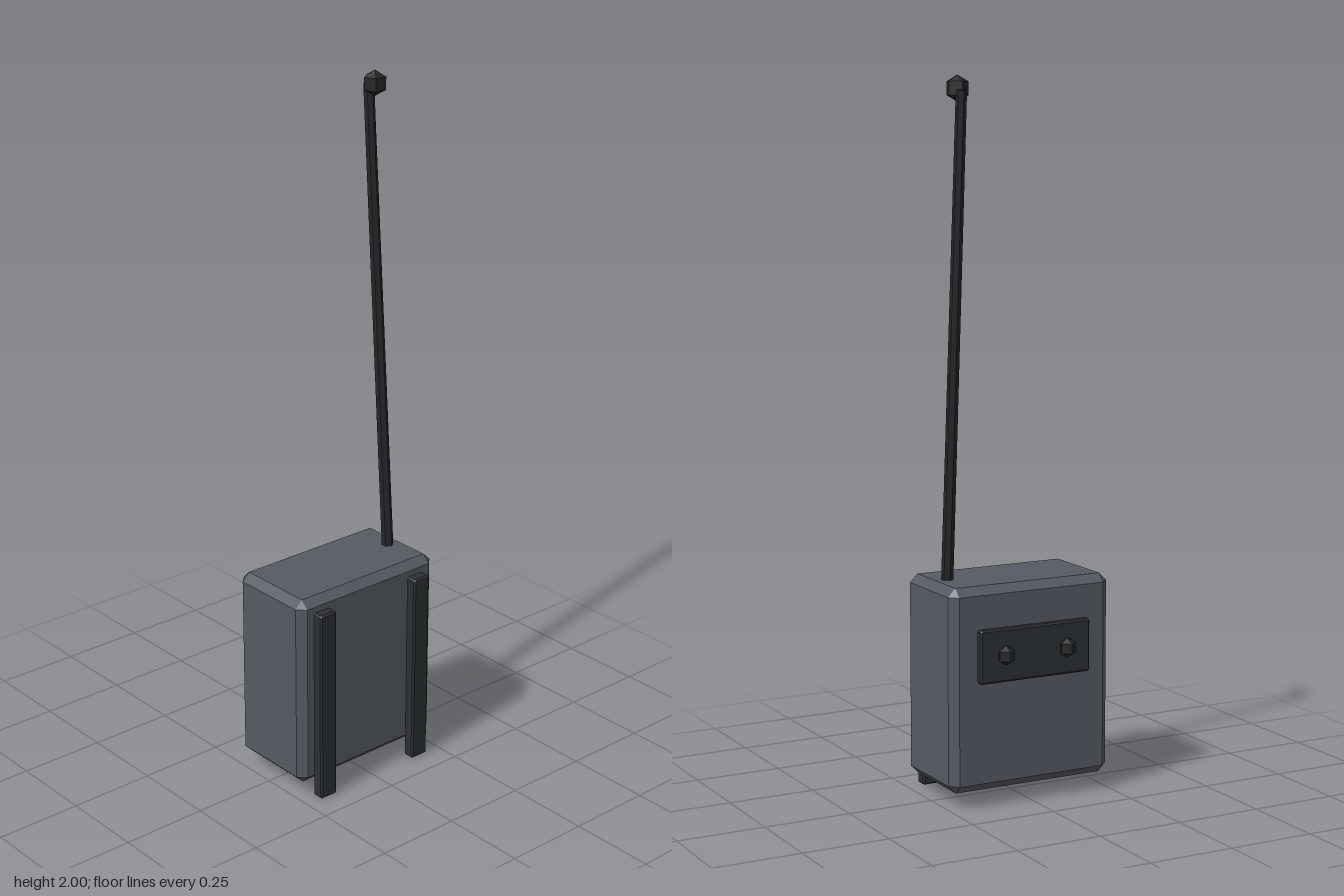
import * as THREE from 'three';
import { ConvexGeometry } from 'three/addons/geometries/ConvexGeometry.js';

const paint = (color) => new THREE.MeshStandardMaterial({ color, flatShading: true });

// Box with every edge and corner cut off by a bevel
function bevelBox(w, h, d, bevel) {
  const half = [w / 2, h / 2, d / 2];
  const points = [];
  for (const sx of [-1, 1]) for (const sy of [-1, 1]) for (const sz of [-1, 1]) {
    for (let axis = 0; axis < 3; axis++) {
      const p = half.map((v, i) => (i === axis ? v : v - bevel));
      points.push(new THREE.Vector3(sx * p[0], sy * p[1], sz * p[2]));
    }
  }
  return new ConvexGeometry(points);
}

// Coarse five-sided ball with one edge pointing to the back
const ball = (r) => new THREE.SphereGeometry(r, 5, 3).rotateY(-Math.PI / 2);

export function createModel() {
  const model = new THREE.Group();
  const bodyPaint = paint(0x555a62);
  const trimPaint = paint(0x2c3032);
  const blackPaint = paint(0x252628);

  function add(name, geometry, material, x, y, z) {
    const mesh = new THREE.Mesh(geometry, material);
    mesh.name = name;
    mesh.position.set(x, y, z);
    model.add(mesh);
    return mesh;
  }

  // Pack body
  add('body', bevelBox(0.5, 0.575, 0.278, 0.023), bodyPaint, 0, 0.333, 0.009);

  // Shoulder straps on the front and dials on the back
  const strap = bevelBox(0.058, 0.58, 0.036, 0.005);
  const dial = ball(0.028);
  for (const [side, s] of [['left', 1], ['right', -1]]) {
    add(side + 'Strap', strap, trimPaint, s * 0.174, 0.29, 0.16);
    add(side + 'Dial', dial, blackPaint, s * 0.097, 0.43, -0.156);
  }

  // Control panel behind the dials
  add('controlPanel', bevelBox(0.345, 0.15, 0.03, 0.005), trimPaint, -0.001, 0.428, -0.135);

  // Antenna leaning back, with a ball on its tip
  const base = new THREE.Vector3(0.192, 0.6, 0.011);
  const tip = new THREE.Vector3(0.192, 1.96, -0.084);
  const lean = tip.clone().sub(base);
  const rod = new THREE.CylinderGeometry(0.015, 0.017, lean.length(), 6);
  const middle = base.clone().add(tip).multiplyScalar(0.5);
  const antenna = add('antenna', rod, blackPaint, middle.x, middle.y, middle.z);
  antenna.rotation.x = Math.atan2(lean.z, lean.y);
  add('antennaTip', ball(0.036), blackPaint, 0.192, 1.964, -0.059);

  return model;
}
